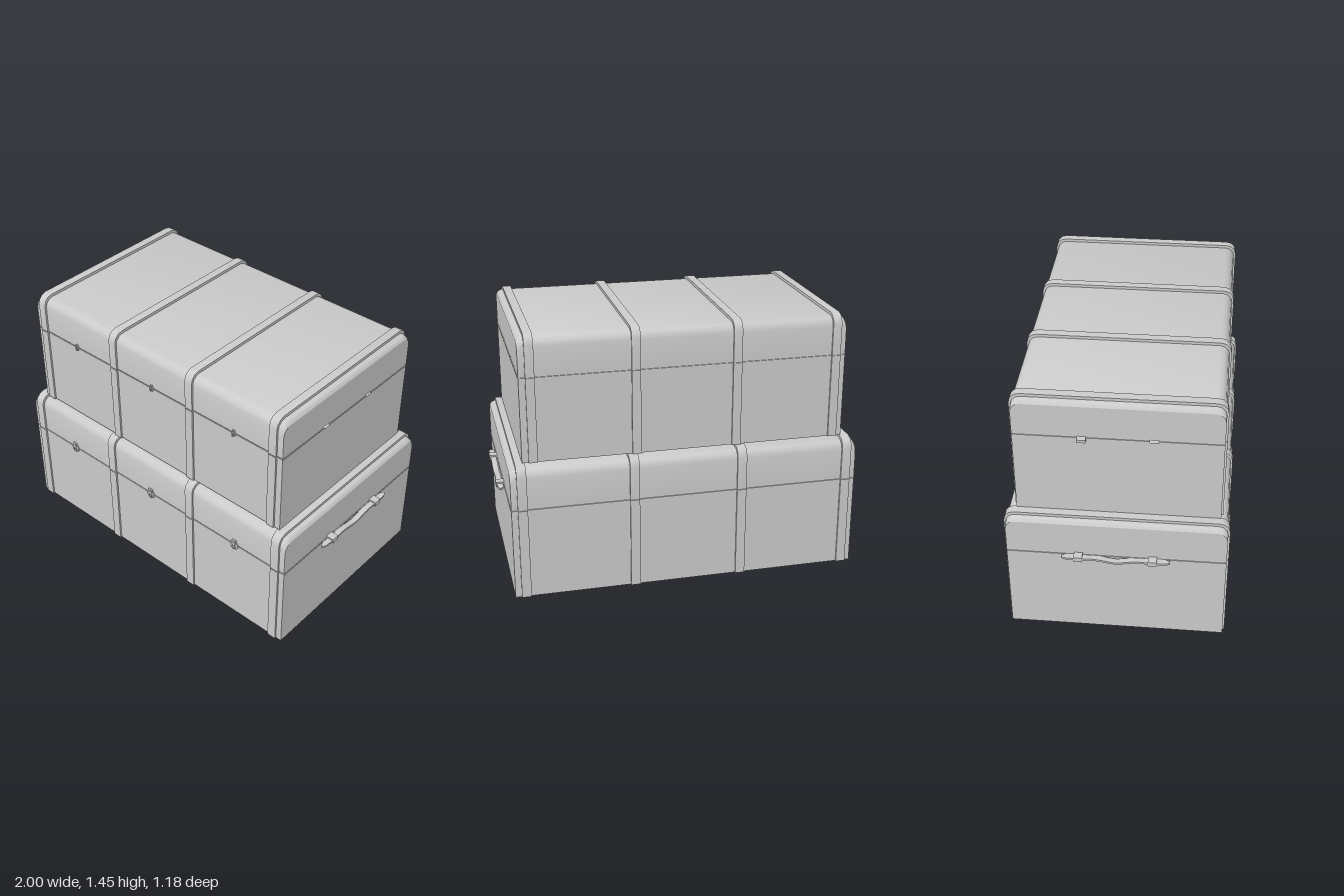
import * as THREE from 'three';
import { toCreasedNormals } from 'three/addons/utils/BufferGeometryUtils.js';

const material = new THREE.MeshStandardMaterial({ color: 0xcccccc, side: THREE.DoubleSide });
const CREASE = 0.62;

function add(parent, geometry, name, x = 0, y = 0, z = 0) {
  const mesh = new THREE.Mesh(geometry, material);
  mesh.name = name;
  mesh.position.set(x, y, z);
  parent.add(mesh);
  return mesh;
}

// Half cross-section: up the side, past the seam groove, round the top corner
function halfOutline(w, y0, top, r, seam) {
  const pts = [[w, y0]];
  if (seam) {
    const d = 0.006, h = 0.003;
    pts.push([w, seam - h], [w - d, seam - h], [w - d, seam + h], [w, seam + h]);
  }
  for (let i = 0; i <= 3; i++) {
    const a = i * Math.PI / 6;
    pts.push([w - r + r * Math.cos(a), top - r + r * Math.sin(a)]);
  }
  return pts;
}

function outline(...args) {
  const half = halfOutline(...args);
  return half.concat(half.map(([z, y]) => [-z, y]).reverse());
}

const toShape = (pts) => new THREE.Shape(pts.map(([a, b]) => new THREE.Vector2(a, b)));

// Long shell whose top edge rounds down toward both ends
function shellGeometry(t, ends) {
  const n = ends[0].pts.length, pos = [], idx = [];
  for (const { x, pts } of ends) for (const [z, y] of pts) pos.push(x, y, z);
  for (let i = 0; i < ends.length - 1; i++) {
    for (let j = 0; j < n; j++) {
      const k = (j + 1) % n, a = i * n + j, b = a + n, c = (i + 1) * n + k, d = i * n + k;
      idx.push(a, b, c, a, c, d);
    }
  }
  const g = new THREE.BufferGeometry();
  g.setAttribute('position', new THREE.Float32BufferAttribute(pos, 3));
  g.setIndex(idx);
  return toCreasedNormals(g, CREASE);
}

function strapGeometry(t) {
  const outer = outline(t.w + 0.01, t.y0, t.top + 0.016, 0.056, t.seam);
  const inner = outline(t.w - 0.002, t.y0, t.top - 0.002, 0.05);
  const g = new THREE.ExtrudeGeometry(toShape(outer.concat(inner.reverse())),
    { depth: t.strapW, bevelEnabled: false });
  g.translate(0, 0, -t.strapW / 2).rotateY(Math.PI / 2);
  return toCreasedNormals(g, CREASE);
}

// Round latch: plate, hasp, knob and keyhole ring
function latch(scaleX, scaleY) {
  const g = new THREE.Group();
  g.name = 'latch';
  const disc = (r, d) => new THREE.CylinderGeometry(r, r, d, 12).rotateX(Math.PI / 2);
  add(g, disc(0.026, 0.006), 'latchPlate', 0, -0.003, 0.003);
  add(g, new THREE.BoxGeometry(0.026, 0.024, 0.008), 'latchHasp', 0, 0.02, 0.004);
  add(g, disc(0.011, 0.012), 'latchKnob', 0, 0.012, 0.006);
  add(g, new THREE.TorusGeometry(0.011, 0.003, 6, 12), 'latchRing', 0, -0.012, 0.008);
  g.scale.set(scaleX, scaleY, 1);
  return g;
}

// Flat sagging carrying strap with tapered tips
function handleGeometry() {
  const g = new THREE.BoxGeometry(0.032, 0.011, 0.572, 2, 1, 36);
  const p = g.attributes.position;
  for (let i = 0; i < p.count; i++) {
    const z = Math.abs(p.getZ(i));
    const sag = z < 0.17 ? -0.007 * (1 + Math.cos(Math.PI * z / 0.14)) + 0.004 * Math.sin(Math.PI * z / 0.17) : 0;
    const taper = z > 0.25 ? Math.sqrt(Math.max(0.08, 1 - ((z - 0.25) / 0.037) ** 2)) : 1;
    p.setXYZ(i, p.getX(i) * taper, p.getY(i) + sag, p.getZ(i));
  }
  return toCreasedNormals(g, CREASE);
}

function trunk(t) {
  const g = new THREE.Group();
  g.name = t.name;

  // Body
  const ring = (drop) => outline(t.w, t.y0, t.top - drop, 0.05, t.seam);
  const rounding = [[0, 0.026], [0.01, 0.009], [0.03, 0]];
  const ends = rounding.map(([dx, drop]) => ({ x: -t.l + dx, pts: ring(drop) }));
  ends.push(...rounding.slice().reverse().map(([dx, drop]) => ({ x: t.l - dx, pts: ring(drop) })));
  add(g, shellGeometry(t, ends), 'body');

  // End panels, pierced where handle mounts pass through
  for (const s of [-1, 1]) {
    const shape = toShape(ring(0.026));
    for (const z of t.slots) {
      const c = -s * z, a = 0.022, b = 0.008;
      shape.holes.push(new THREE.Path([[c - a, t.seam - b], [c - a, t.seam + b],
        [c + a, t.seam + b], [c + a, t.seam - b]].map(([u, v]) => new THREE.Vector2(u, v))));
    }
    add(g, new THREE.ShapeGeometry(shape).rotateY(s * Math.PI / 2), 'endPanel', s * t.l);

    // Seam lip, interrupted at the slots
    const stops = [-t.w + 0.004];
    for (const z of t.slots) stops.push(z - 0.022, z + 0.022);
    stops.push(t.w - 0.004);
    for (let i = 0; i < stops.length; i += 2) {
      add(g, new THREE.BoxGeometry(0.006, 0.005, stops[i + 1] - stops[i]), 'seamLip',
        s * (t.l + 0.001), t.seam, (stops[i] + stops[i + 1]) / 2);
    }
  }

  // Straps and latches
  const strap = strapGeometry(t);
  for (const x of t.straps) add(g, strap, 'strap', x);
  for (const x of [-t.latchX, 0, t.latchX]) {
    const l = latch(...t.latchScale);
    l.position.set(x, t.seam, t.w);
    g.add(l);
  }
  g.position.z = t.z;
  return g;
}

export function createModel() {
  const model = new THREE.Group();
  model.name = 'stackedTrunks';

  const lower = trunk({
    name: 'lowerTrunk', l: 0.955, w: 0.578, y0: 0, top: 0.738, seam: 0.512, z: 0, slots: [],
    straps: [-0.9, -0.3, 0.294, 0.895], strapW: 0.052, latchX: 0.617, latchScale: [1.05, 1.05],
  });
  const upper = trunk({
    name: 'upperTrunk', l: 0.882, w: 0.53, y0: 0.755, top: 1.433, seam: 1.223, z: 0.007, slots: [-0.179, 0.181],
    straps: [-0.829, -0.278, 0.27, 0.823], strapW: 0.048, latchX: 0.57, latchScale: [0.5, 0.65],
  });
  model.add(lower, upper);

  // Carrying handles with mounts on the lower trunk
  const handle = handleGeometry();
  for (const s of [-1, 1]) {
    add(lower, handle, 'handle', s * 0.979, 0.513);
    for (const z of [-0.197, 0.193]) {
      add(lower, new THREE.BoxGeometry(0.046, 0.027, 0.046), 'handleMount', s * 0.977, 0.513, z);
    }
  }
  // Single remaining mount on the upper trunk
  add(upper, new THREE.BoxGeometry(0.034, 0.017, 0.045), 'handleMount', -0.898, 1.223, -0.179);
  return model;
}
